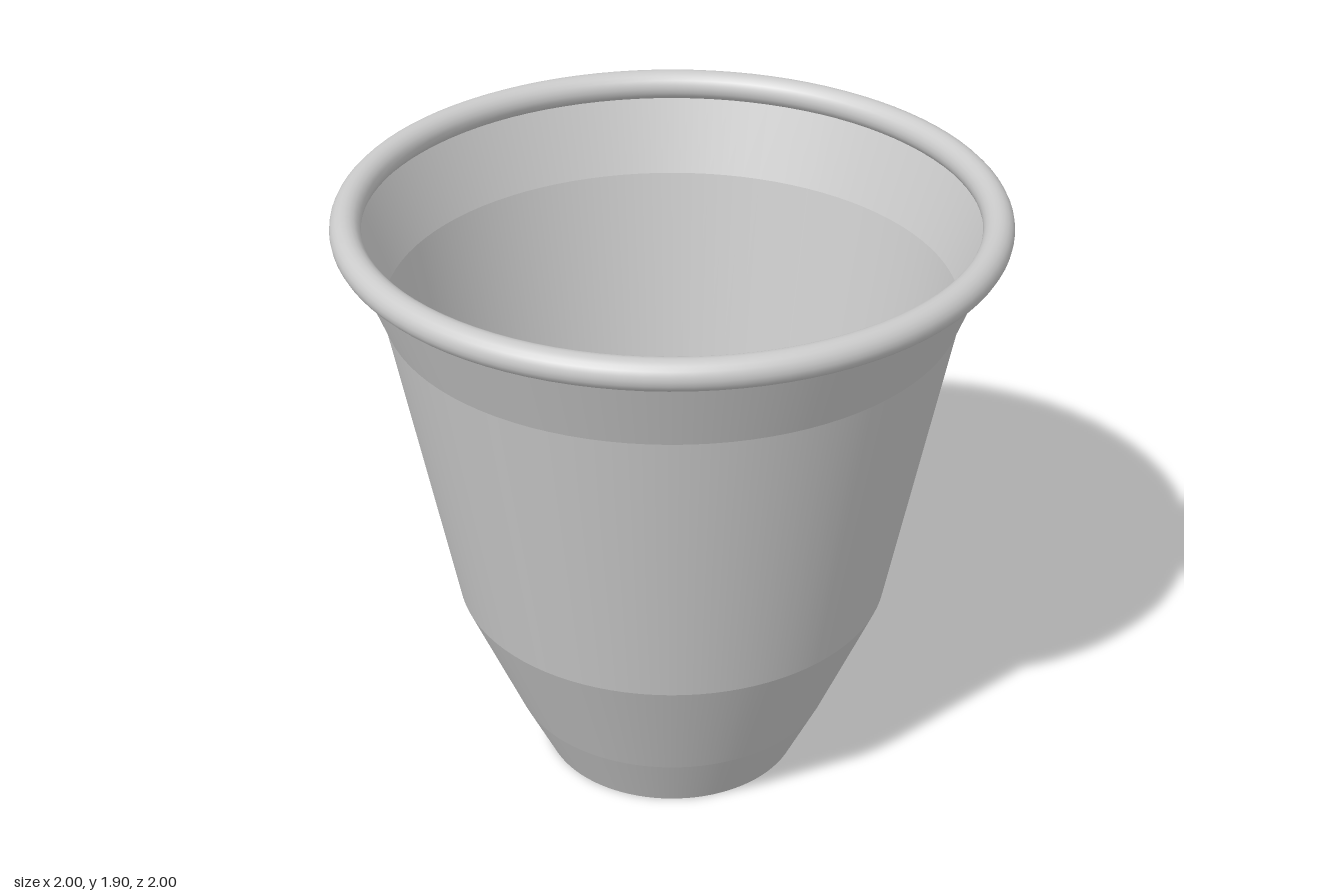
import * as THREE from 'three';

export function createModel() {
  const group = new THREE.Group();
  group.name = 'cup';
  const skin = new THREE.MeshStandardMaterial({ color: 0xcccccc, side: THREE.DoubleSide });

  // Thin open wall: one conical band per profile step, so the creases stay crisp
  const profile = [[0.41, 0], [0.505, 0.2], [0.675, 0.605], [0.86, 1.585], [0.955, 1.835]]
    .map(([r, y]) => new THREE.Vector2(r, y));
  const wall = new THREE.Group();
  wall.name = 'wall';
  for (let i = 0; i < profile.length - 1; i++) {
    const band = new THREE.Mesh(new THREE.LatheGeometry([profile[i], profile[i + 1]], 96), skin);
    band.name = `wallBand${i + 1}`;
    wall.add(band);
  }
  group.add(wall);

  // Rolled lip
  const rim = new THREE.Mesh(new THREE.TorusGeometry(0.954, 0.046, 20, 96), skin);
  rim.name = 'rim';
  rim.rotation.x = Math.PI / 2;
  rim.position.y = 1.858;
  group.add(rim);

  return group;
}
